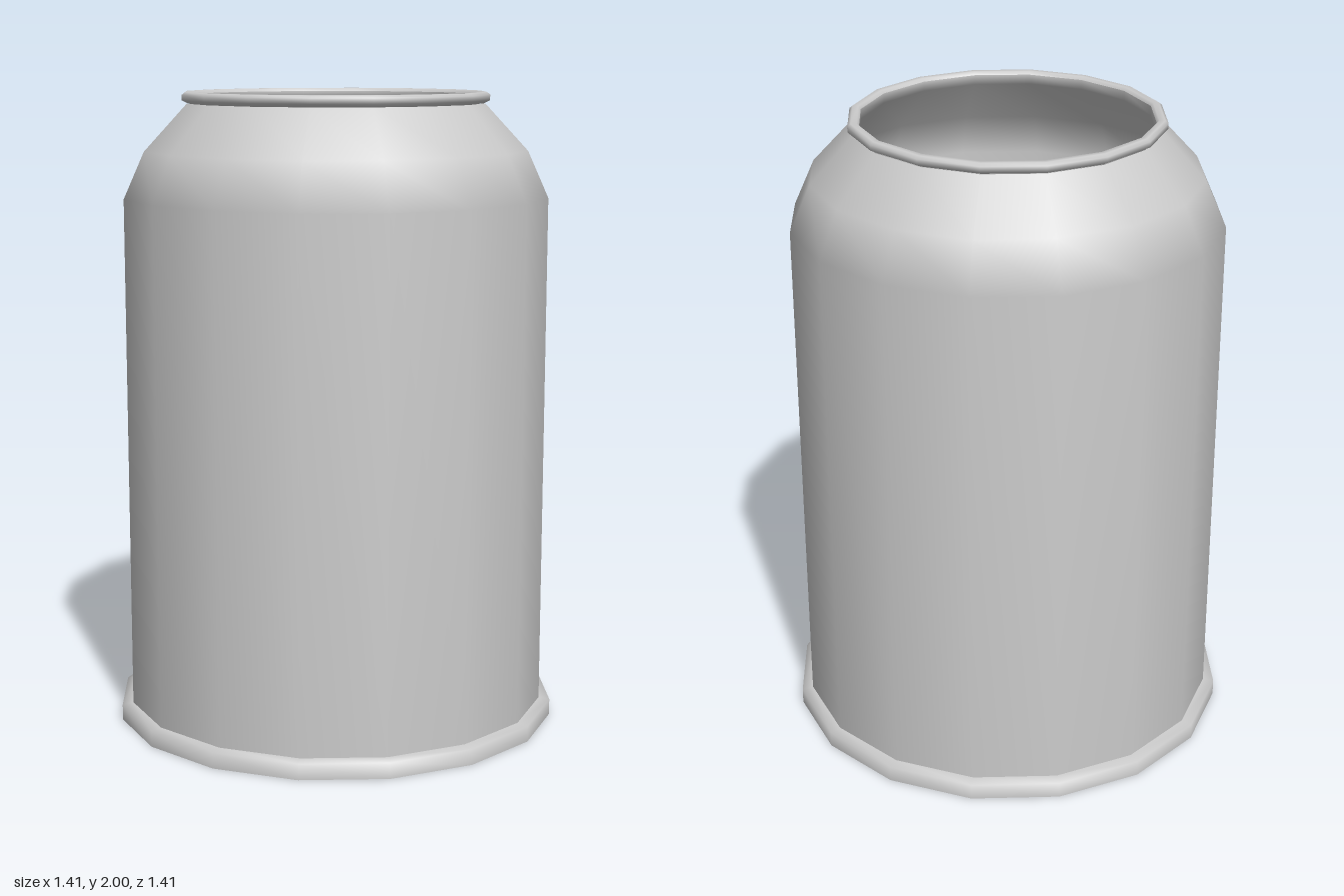
import * as THREE from 'three';

const SIDES = 16;

export function createModel() {
  const group = new THREE.Group();
  const material = new THREE.MeshStandardMaterial({ color: 0xcccccc });

  // Revolve a [radius, height] profile; each part keeps its own smooth normals.
  function turned(name, profile) {
    const points = profile.map(([r, y]) => new THREE.Vector2(r, y));
    const mesh = new THREE.Mesh(new THREE.LatheGeometry(points, SIDES), material);
    mesh.name = name;
    group.add(mesh);
  }

  // Flat underside
  turned('base', [[0, 0], [0.705, 0]]);

  // Projecting foot ring
  turned('baseFlange', [[0.705, 0], [0.705, 0.05], [0.67, 0.055]]);

  // Straight wall and sloping shoulder
  turned('body', [[0.67, 0.05], [0.67, 1.675], [0.605, 1.82], [0.47, 1.965]]);

  // Rolled lip around the mouth
  turned('rim', [[0.465, 1.965], [0.485, 1.975], [0.485, 1.992], [0.475, 2], [0.457, 2], [0.45, 1.99]]);

  // Hollow interior, from the mouth down to the floor
  turned('interior', [[0.45, 1.99], [0.45, 1.96], [0.585, 1.81], [0.645, 1.67], [0.645, 0.06], [0, 0.05]]);

  return group;
}
